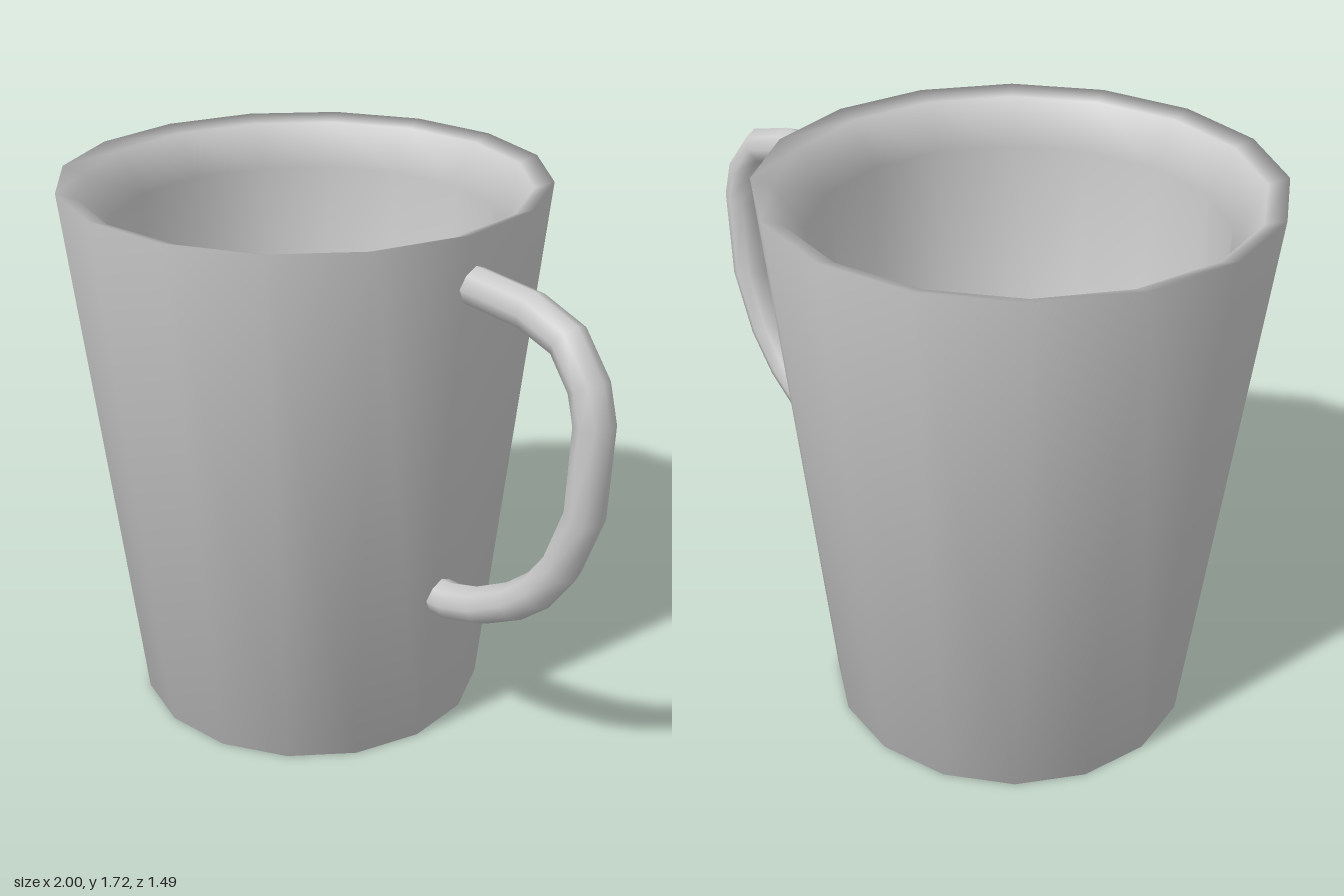
import * as THREE from 'three';

export function createModel() {
  const group = new THREE.Group();
  const material = new THREE.MeshStandardMaterial({ color: 0xcccccc, side: THREE.DoubleSide });

  // Cup: base, tapered outer wall, broad lip, sloping shoulder, inner wall and floor in one smooth 16-sided profile
  const profile = [
    [0, 0], [0.56, 0], [0.744, 1.72],
    [0.685, 1.7], [0.6, 1.57], [0.555, 0.15], [0, 0.15],
  ].map(([r, y]) => new THREE.Vector2(r, y));
  const cup = new THREE.Mesh(new THREE.LatheGeometry(profile, 16), material);
  cup.name = 'cup';
  cup.position.x = -0.256;
  group.add(cup);

  // Handle: faceted tube whose rings sit exactly on the path points
  const path = [
    [0.45, 1.563], [0.69, 1.555], [0.83, 1.515], [0.915, 1.41], [0.943, 1.31], [0.93, 1.04],
    [0.855, 0.85], [0.77, 0.735], [0.675, 0.655], [0.535, 0.575], [0.405, 0.53], [0.345, 0.525],
  ].map(([x, y]) => new THREE.Vector3(x, y, -0.04));
  const curve = new THREE.CatmullRomCurve3(path);
  curve.getUtoTmapping = (u) => u;
  const handle = new THREE.Mesh(new THREE.TubeGeometry(curve, path.length - 1, 0.058, 8), material);
  handle.name = 'handle';
  group.add(handle);

  return group;
}
